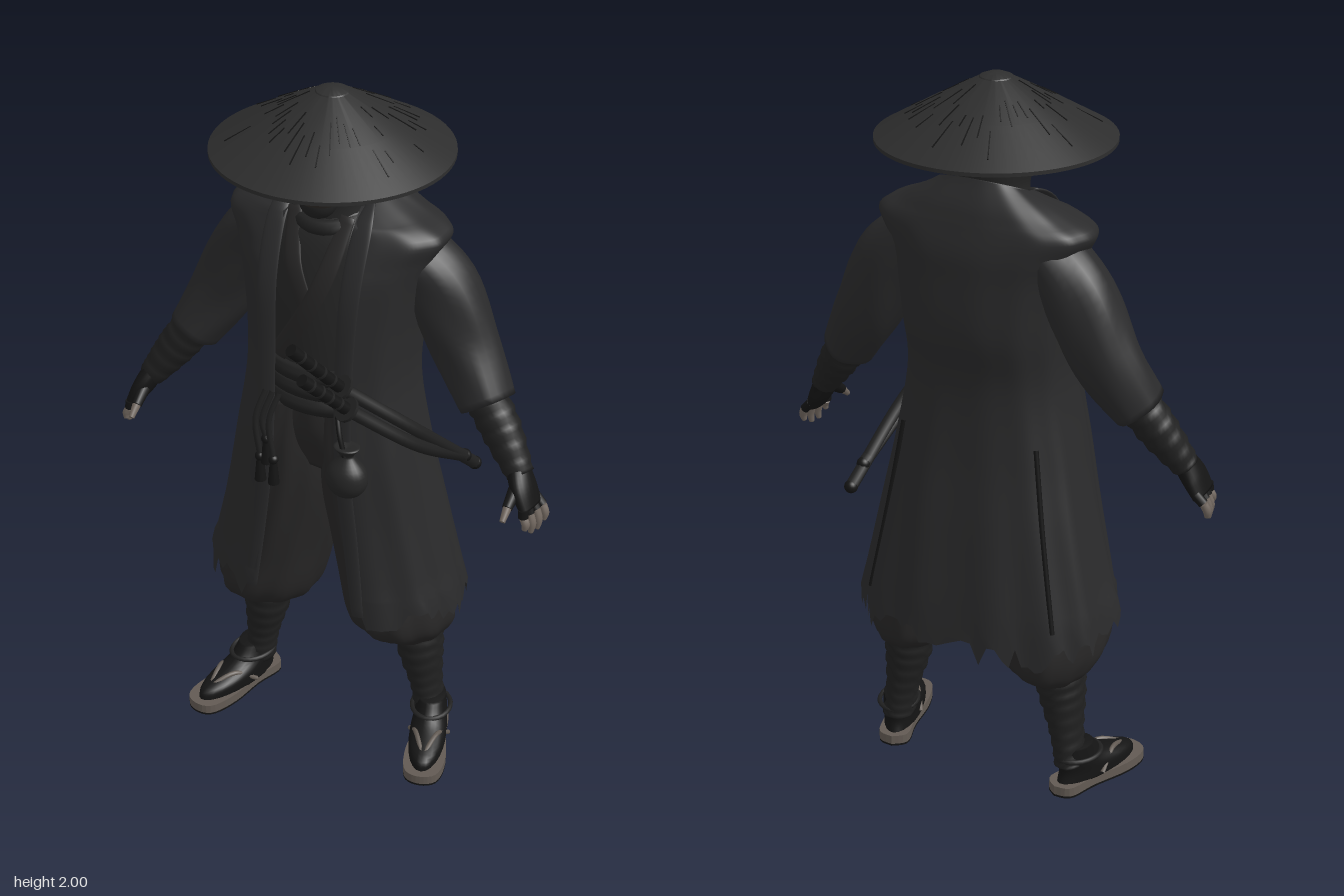
import * as THREE from 'three';
import { toCreasedNormals } from 'three/addons/utils/BufferGeometryUtils.js';

const V = (x, y, z) => new THREE.Vector3(x, y, z);

let seed = 7;
const rand = () => {
  seed = (seed * 16807) % 2147483647;
  return seed / 2147483647;
};

// Smooth interpolation of section rows
function subdivide(rows, n) {
  const out = [], at = i => rows[Math.max(0, Math.min(rows.length - 1, i))];
  for (let i = 0; i < rows.length - 1; i++) {
    for (let k = 0; k < n; k++) {
      const t = k / n;
      out.push(rows[i].map((b, c) => {
        const a = at(i - 1)[c], d = at(i + 1)[c], e = at(i + 2)[c];
        return b + 0.5 * t * (d - a + t * (2 * a - 5 * b + 4 * d - e + t * (3 * (b - d) + e - a)));
      }));
    }
  }
  out.push(rows[rows.length - 1]);
  return out;
}

// Skin over sections [x, y, z, sideRadius, depthRadius, frontGap]; flat keeps them horizontal
function loft(rows, { n = 6, seg = 24, flat = false, p = 1, open = false, bump = () => 0, dy = () => 0 } = {}) {
  const list = subdivide(rows, n), last = list.length - 1;
  const pos = [], idx = [], cols = open ? seg + 1 : seg;
  const pw = v => Math.sign(v) * Math.abs(v) ** p;
  const ring = (r, i, k) => {
    const A = list[Math.max(0, i - 1)], B = list[Math.min(last, i + 1)];
    const t = V(B[0] - A[0], B[1] - A[1], B[2] - A[2]).normalize();
    const s = flat ? V(1, 0, 0) : t.clone().cross(V(0, 0, 1)).normalize();
    const d = flat ? V(0, 0, 1) : t.clone().cross(s);
    const a0 = open ? Math.asin(Math.min(0.95, r[5] / r[3]) ** (1 / p)) : 0;
    for (let j = 0; j < cols; j++) {
      const a = a0 + (2 * Math.PI - 2 * a0) * j / seg;
      const m = k * (1 + bump(a, r[1], i));
      const q = V(r[0], r[1], r[2]).addScaledVector(s, r[3] * pw(Math.sin(a)) * m).addScaledVector(d, r[4] * pw(Math.cos(a)) * m);
      pos.push(q.x, q.y + dy(a, i / last), q.z);
    }
  };
  if (!open) ring(list[0], 0, 0);
  list.forEach((r, i) => ring(r, i, 1));
  if (!open) ring(list[last], last, 0);
  const total = pos.length / 3 / cols;
  for (let i = 0; i < total - 1; i++) {
    for (let j = 0; j < seg; j++) {
      const a = i * cols + j, b = i * cols + (j + 1) % cols;
      idx.push(a, a + cols, b + cols, a, b + cols, b);
    }
  }
  const g = new THREE.BufferGeometry();
  g.setAttribute('position', new THREE.Float32BufferAttribute(pos, 3));
  g.setIndex(idx);
  g.computeVertexNormals();
  return g;
}

// Copy across x = 0 with corner order reversed
function mirrored(geo) {
  const g = geo.index ? geo.toNonIndexed() : geo.clone();
  const { position, normal } = g.attributes, idx = [];
  for (let i = 0; i < position.count; i++) {
    position.setX(i, -position.getX(i));
    normal.setX(i, -normal.getX(i));
    if (i % 3 === 0) idx.push(i, i + 2, i + 1);
  }
  return g.setIndex(idx);
}

const tube = (pts, r, n = 24) => new THREE.TubeGeometry(new THREE.CatmullRomCurve3(pts.map(q => V(...q))), n, r, 8);
const ball = (x, y, z, rx, ry, rz) => new THREE.SphereGeometry(1, 20, 14).scale(rx, ry, rz).translate(x, y, z);

// Cylinder between two points
function rod(a, b, r0, r1 = r0) {
  const A = V(...a), B = V(...b), d = B.clone().sub(A);
  const g = new THREE.CylinderGeometry(r1, r0, d.length(), 12);
  g.applyQuaternion(new THREE.Quaternion().setFromUnitVectors(V(0, 1, 0), d.clone().normalize()));
  return g.translate(...A.add(B).multiplyScalar(0.5).toArray());
}

export function createModel() {
  seed = 7;
  const model = new THREE.Group();
  const mat = (name, color, side = THREE.FrontSide) => {
    const m = new THREE.MeshStandardMaterial({ color, side });
    m.name = name;
    return m;
  };
  const coat = mat('coat cloth', 0x2a2a2b, THREE.DoubleSide), robe = mat('robe cloth', 0x252525);
  const trouser = mat('trouser cloth', 0x272626), straw = mat('hat straw', 0x2d2d2d);
  const wrap = mat('wrapping', 0x202020), black = mat('black lacquer', 0x141414);
  const skin = mat('skin', 0x70665e), sole = mat('sandal straw', 0x625a53), hair = mat('grey hair', 0x8d857c);
  const faceMat = mat('shaded face', 0x2e2a27);
  const add = (name, geo, m, both = false) => {
    const mesh = new THREE.Mesh(geo, m);
    mesh.name = both ? name + 'Left' : name;
    model.add(mesh);
    if (both) {
      const other = new THREE.Mesh(mirrored(geo), m);
      other.name = name + 'Right';
      model.add(other);
    }
  };

  // Conical hat with a small crown disc, streaks above and hoops below
  const profile = [[0, 1.965], [0.15, 1.9], [0.3, 1.826], [0.314, 1.826], [0.314, 1.836], [0.18, 1.913], [0.044, 1.986], [0.042, 1.989], [0.022, 1.997], [0, 2]];
  add('hat', toCreasedNormals(new THREE.LatheGeometry(profile.map(q => new THREE.Vector2(...q)), 64).translate(0, 0, -0.01), 0.4), straw);
  for (let i = 0; i < 44; i++) {
    const len = 0.03 + rand() * 0.07, r = 0.09 + rand() * 0.16;
    const y = r < 0.18 ? 1.986 - (r - 0.044) * 0.535 : 1.913 - (r - 0.18) * 0.575;
    add('hatStreak', new THREE.BoxGeometry(len, 0.003, 0.003).rotateZ(-0.5).translate(r, y, 0).rotateY(i / 44 * Math.PI * 2).translate(0, 0, -0.01), black);
  }
  for (let i = 0; i < 5; i++) {
    const r = 0.13 + i * 0.038;
    add('hatHoop', new THREE.TorusGeometry(r, 0.004, 5, 40).rotateX(Math.PI / 2).translate(0, 1.963 - r * 0.46, -0.01), black);
  }

  // Head, hood and neck cowl
  add('hood', loft([[0, 1.91, 0, 0.05, 0.06], [0, 1.85, -0.005, 0.09, 0.105], [0, 1.77, -0.01, 0.103, 0.104], [0, 1.7, -0.02, 0.094, 0.086], [0, 1.6, -0.035, 0.125, 0.1]], { flat: true }), robe);
  add('face', ball(0, 1.785, 0.067, 0.07, 0.1, 0.064), faceMat);
  add('nose', ball(0, 1.783, 0.131, 0.014, 0.026, 0.02), faceMat);
  add('beard', ball(0, 1.717, 0.07, 0.05, 0.045, 0.045), wrap);
  add('moustache', loft([[0, 1.768, 0.136, 0.01, 0.009], [0.035, 1.763, 0.13, 0.01, 0.009], [0.072, 1.74, 0.11, 0.003, 0.003]], { seg: 10 }), hair, true);
  add('cowl', new THREE.TorusGeometry(0.088, 0.023, 10, 32).rotateX(Math.PI / 2 + 0.25).translate(0, 1.665, -0.015), wrap);

  // Robe, crossed collar and sash
  add('robe', loft([[0, 1.69, -0.04, 0.1, 0.085], [0, 1.6, -0.04, 0.2, 0.14], [0, 1.4, -0.035, 0.2, 0.168], [0, 1.12, -0.02, 0.19, 0.155]], { flat: true }), robe);
  add('collarOver', loft([[0.075, 1.68, 0.05, 0.02, 0.006], [0.05, 1.55, 0.117, 0.025, 0.007], [0, 1.43, 0.138, 0.025, 0.007], [-0.09, 1.28, 0.128, 0.025, 0.007]]), trouser);
  add('collarUnder', loft([[-0.075, 1.68, 0.05, 0.02, 0.006], [-0.05, 1.55, 0.114, 0.025, 0.006], [0, 1.43, 0.133, 0.025, 0.006]]), trouser);
  for (let i = 0; i < 3; i++) {
    const y = 1.265 - i * 0.045;
    add('sashBand', loft([[0, y, -0.005, 0.18, 0.152], [0, y - 0.024, -0.005, 0.185, 0.165], [0, y - 0.048, -0.005, 0.18, 0.152]], { flat: true, n: 3, seg: 36 }), wrap);
  }

  // Baggy pleated trousers meeting in a high inverted V
  const pleat = (a, y) => 0.025 * Math.sin(11 * a + y * 6) + 0.012 * Math.sin(5 * a - y * 14);
  add('trouserWaist', loft([[0, 1.16, -0.02, 0.18, 0.15], [0, 1.05, -0.02, 0.19, 0.155], [0, 0.93, -0.025, 0.17, 0.12]], { flat: true, seg: 48, bump: pleat }), trouser);
  add('trouserLeg', loft([[0.085, 1.14, -0.02, 0.095, 0.155], [0.1, 1, -0.02, 0.105, 0.172], [0.117, 0.83, -0.03, 0.122, 0.174], [0.176, 0.6, -0.04, 0.148, 0.175], [0.205, 0.46, -0.045, 0.146, 0.178], [0.212, 0.39, -0.075, 0.118, 0.14], [0.225, 0.352, -0.085, 0.075, 0.095]], { flat: true, seg: 48, bump: pleat }), trouser, true);

  // Long open coat, wide straight shoulders and a torn hem
  const rag = Array.from({ length: 97 }, () => rand() ** 2 * 0.07);
  const folds = (a, y) => (0.006 + 0.022 * Math.max(0, 1.2 - y)) * (Math.sin(13 * a + 2 * y) + 0.5 * Math.sin(7 * a - 5 * y));
  add('coat', loft([[0, 1.72, -0.06, 0.125, 0.085, 0.09], [0, 1.675, -0.06, 0.22, 0.122, 0.095], [0, 1.63, -0.058, 0.302, 0.14, 0.1], [0, 1.57, -0.05, 0.278, 0.162, 0.1], [0, 1.5, -0.04, 0.255, 0.176, 0.1], [0, 1.35, -0.035, 0.235, 0.185, 0.1], [0, 1.2, -0.02, 0.232, 0.176, 0.1], [0, 1, -0.02, 0.265, 0.19, 0.105], [0, 0.8, -0.035, 0.305, 0.205, 0.125], [0, 0.51, -0.05, 0.37, 0.23, 0.15]], {
    flat: true, open: true, seg: 96, p: 0.8, bump: folds,
    dy: (a, t) => {
      if (t < 0.97) return -0.035 * Math.cos(a) * Math.max(0, 1 - t / 0.15);
      return 0.015 + 0.03 * Math.cos(a) - (t === 1 ? rag[Math.round(a / (2 * Math.PI) * 96)] : 0);
    },
  }), coat);
  add('coatLapel', loft([[0.108, 1.705, -0.015, 0.014, 0.006], [0.12, 1.655, 0.062, 0.026, 0.006], [0.118, 1.5, 0.128, 0.028, 0.006], [0.112, 1.3, 0.148, 0.026, 0.006], [0.115, 1, 0.16, 0.024, 0.006], [0.14, 0.75, 0.159, 0.022, 0.006], [0.165, 0.53, 0.165, 0.018, 0.005]]), coat, true);
  add('coatCollar', loft([[0, 1.715, -0.05, 0.118, 0.09, 0.1], [0, 1.67, -0.055, 0.145, 0.108, 0.1]], { flat: true, open: true, dy: a => -0.04 * Math.cos(a) }), coat);
  add('coatSeam', tube([[0.2, 1.05, -0.159], [0.235, 0.82, -0.185], [0.282, 0.55, -0.215]], 0.007), black, true);

  // Sleeves, wrapped forearms and hands
  add('sleeve', loft([[0.2, 1.565, -0.07, 0.08, 0.1], [0.275, 1.47, -0.08, 0.1, 0.095], [0.355, 1.315, -0.075, 0.093, 0.088], [0.437, 1.18, -0.04, 0.073, 0.08]], { bump: (a, y) => 0.025 * Math.sin(5 * a + 22 * y) }), coat, true);
  const winding = (a, y, i) => 0.05 * ((i + Math.round(a / Math.PI)) % 3 - 1);
  add('forearm', loft([[0.42, 1.21, -0.045, 0.055, 0.058], [0.485, 1.12, -0.025, 0.054, 0.054], [0.555, 1.02, 0.005, 0.036, 0.04]], { n: 9, bump: winding }), wrap, true);
  add('palm', loft([[0.548, 1.035, 0.002, 0.03, 0.038], [0.572, 0.99, 0.018, 0.028, 0.052], [0.596, 0.945, 0.024, 0.02, 0.052]]), black, true);
  for (let i = 0; i < 4; i++) {
    const z = -0.016 + i * 0.027, low = [0.892, 0.878, 0.88, 0.9][i], x = 0.626 - 0.007 * i;
    const mid = [x - 0.011, 0.932, z + 0.002];
    add('fingerGlove', rod([0.592, 0.955, z], mid, 0.014, 0.0135), black, true);
    add('finger', loft([[...mid, 0.0115, 0.0115], [x - 0.002, (0.932 + low) / 2, z + 0.006, 0.0115, 0.0115], [x - 0.003, low, z + 0.01, 0.007, 0.007]], { seg: 10 }), skin, true);
  }
  add('thumbGlove', rod([0.558, 0.995, 0.045], [0.557, 0.965, 0.09], 0.018, 0.014), black, true);
  add('thumb', rod([0.557, 0.965, 0.09], [0.557, 0.94, 0.12], 0.012, 0.008), skin, true);

  // Wrapped shins and sandals
  add('shin', loft([[0.235, 0.4, -0.085, 0.068, 0.076], [0.245, 0.3, -0.08, 0.064, 0.073], [0.265, 0.17, -0.085, 0.044, 0.056], [0.278, 0.08, -0.085, 0.043, 0.054]], { n: 9, bump: winding }), wrap, true);
  const place = g => g.rotateY(0.3).translate(0.312, 0, 0.002);
  const outline = new THREE.Shape(new THREE.SplineCurve([[0, -0.166], [0.042, -0.14], [0.046, -0.05], [0.061, 0.07], [0.046, 0.148], [0, 0.168], [-0.046, 0.144], [-0.057, 0.06], [-0.043, -0.05], [-0.042, -0.14], [0, -0.166]].map(q => new THREE.Vector2(...q))).getPoints(44));
  const slab = (h, top) => place(new THREE.ExtrudeGeometry(outline, { depth: h, bevelEnabled: false }).rotateX(Math.PI / 2).translate(0, top, 0));
  add('sandalSole', slab(0.026, 0.032), sole, true);
  add('sandalTread', slab(0.006, 0.006), black, true);
  add('foot', place(loft([[0, 0.14, -0.08, 0.04, 0.052], [0, 0.095, -0.06, 0.046, 0.08], [0, 0.06, -0.005, 0.052, 0.132], [0, 0.03, 0, 0.051, 0.146]], { flat: true })), black, true);
  add('ankleRope', place(new THREE.TorusGeometry(0.058, 0.007, 6, 24).rotateX(Math.PI / 2).scale(0.95, 1, 1.2).translate(0, 0.105, -0.07)), wrap, true);
  for (const s of [-1, 1]) add('sandalStrap', place(tube([[0, 0.058, 0.11], [s * 0.03, 0.082, 0.035], [s * 0.055, 0.04, -0.03]], 0.007, 12)), sole, true);

  // Two sheathed swords at the left hip
  const swords = [
    [[0.045, 1.42, 0.31], [0.12, 1.255, 0.175], [0.265, 1.08, 0.02], [0.328, 0.85, -0.23]],
    [[0.075, 1.34, 0.31], [0.145, 1.205, 0.19], [0.268, 1.05, 0.04], [0.318, 0.9, -0.18]],
  ];
  for (const [end, guard, hip, tip] of swords) {
    const g = V(...guard), dir = V(...end).sub(g).normalize();
    add('swordHandle', rod(guard, end, 0.017), black);
    add('swordGuard', rod(guard, g.clone().addScaledVector(dir, 0.01).toArray(), 0.036), wrap);
    add('scabbard', tube([guard, hip, tip], 0.018), wrap);
    add('scabbardTip', ball(...tip, 0.019, 0.019, 0.019), black);
    for (let i = 1; i < 5; i++) {
      const q = g.clone().lerp(V(...end), i / 5);
      add('handleBinding', rod(q.toArray(), q.clone().addScaledVector(dir, 0.008).toArray(), 0.0185), wrap);
    }
  }

  // Hip pouch
  const bag = [[0, 0.935], [0.035, 0.942], [0.057, 0.975], [0.052, 1.015], [0.024, 1.05], [0.02, 1.062], [0.036, 1.085], [0, 1.08]];
  add('pouch', new THREE.LatheGeometry(new THREE.SplineCurve(bag.map(q => new THREE.Vector2(...q))).getPoints(28).map(q => q.setX(Math.max(0, q.x))), 24).scale(1, 1, 0.85).translate(0.138, 0, 0.18), robe);
  add('pouchCord', tube([[0.138, 1.06, 0.194], [0.12, 1.12, 0.187], [0.1, 1.18, 0.162]], 0.007), black);

  // Knotted cords and tassels on the right
  for (let i = 0; i < 3; i++) {
    const x = -0.08 - i * 0.02, y = 0.98 + (i % 2) * 0.06;
    add('beltCord', tube([[x + 0.01, 1.18, 0.16], [x - 0.01, 1.1, 0.183], [x, y, 0.18]], 0.008), wrap);
    add('cordKnot', ball(x, y, 0.18, 0.014, 0.014, 0.014), black);
    add('tassel', rod([x, y, 0.18], [x, y - 0.075, 0.18], 0.009, 0.016), black);
  }
  return model;
}
